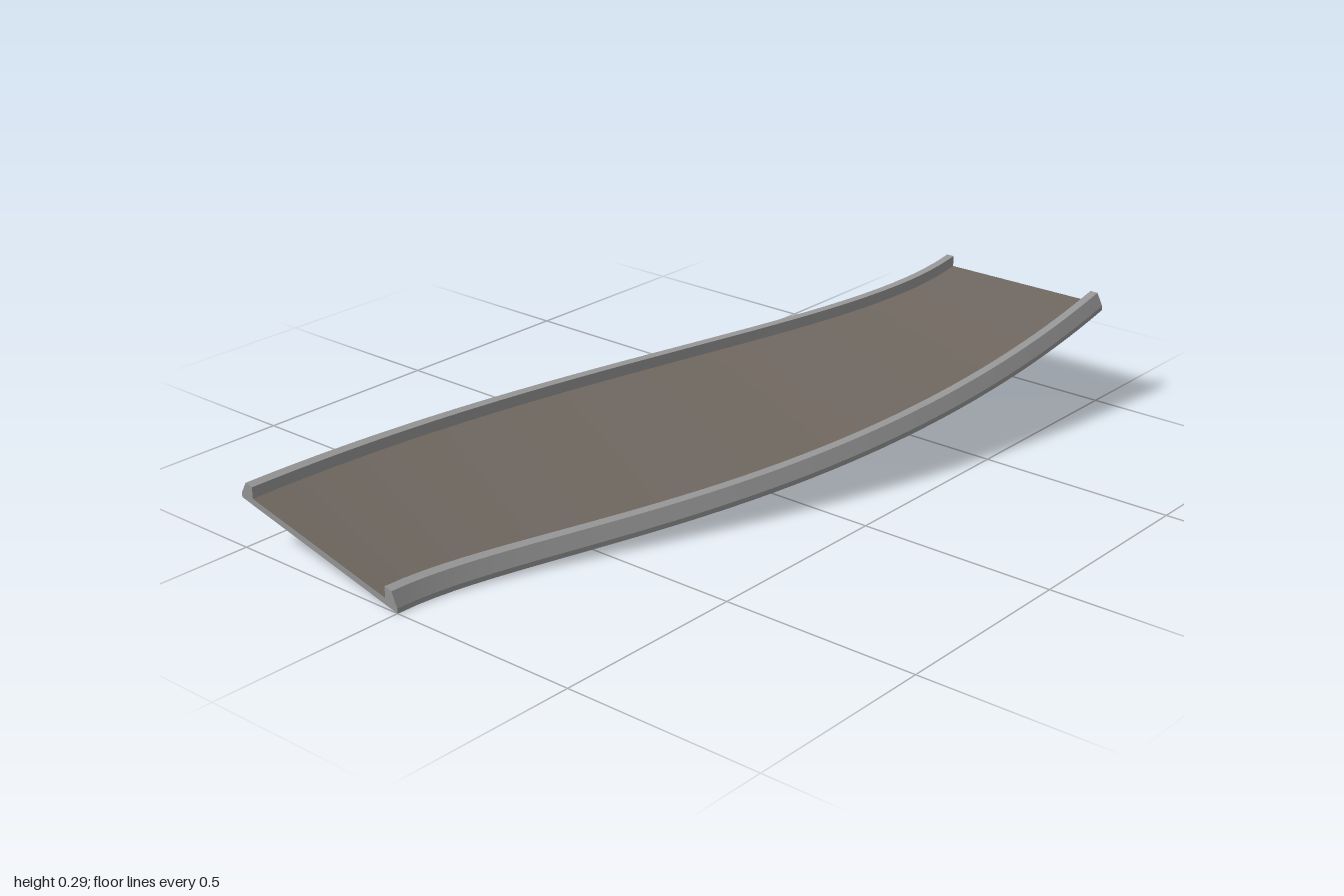
import * as THREE from 'three';
import { toCreasedNormals } from 'three/addons/utils/BufferGeometryUtils.js';

const STEPS = 40;
const bezier = (a, b, c, d, s) => {
  const r = 1 - s;
  return a * r * r * r + 3 * b * r * r * s + 3 * c * r * s * s + d * s * s * s;
};

// plan of the right-hand (+x) edge: solve the S curve for x at a given z
function edgeX(z) {
  let lo = 0, hi = 1;
  for (let i = 0; i < 40; i++) {
    const mid = (lo + hi) / 2;
    if (bezier(1, 0.59, 0.08, -1, mid) > z) lo = mid; else hi = mid;
  }
  return bezier(0, 0, 0.5, 0.5, (lo + hi) / 2);
}

// kerb profile: distance in from the edge, height above the underside
const kerb = [[0, 0], [0, 0.012], [0.016, 0.044], [0.037, 0.044], [0.037, 0.016]];

// cross-section at step i: right kerb going up and in, then left kerb back out
function section(i) {
  const t = i / STEPS, z = 1 - 2 * t;
  const xr = edgeX(z), xl = -edgeX(-z);
  const yr = 0.003 + 0.25 * Math.pow(t, 1.75), yl = 0.128 + 0.125 * Math.pow(t, 3);
  const point = (x, h) => new THREE.Vector3(x, yl + (yr - yl) * (x - xl) / (xr - xl) + h, z);
  return [
    ...kerb.map(([d, h]) => point(xr - d, h)),
    ...[...kerb].reverse().map(([d, h]) => point(xl + d, h)),
  ];
}

function meshFrom(name, triangles, material) {
  const geometry = new THREE.BufferGeometry().setFromPoints(triangles);
  const mesh = new THREE.Mesh(toCreasedNormals(geometry, 0.35), material);
  mesh.name = name;
  return mesh;
}

export function createModel() {
  const concrete = new THREE.MeshStandardMaterial({ color: 0x969595 });
  concrete.name = 'grey concrete';
  const asphalt = new THREE.MeshStandardMaterial({ color: 0x6e665f });
  asphalt.name = 'brown road surface';

  const sections = Array.from({ length: STEPS + 1 }, (_, i) => section(i));
  const n = sections[0].length;
  const body = [], road = [];

  // sweep each side of the section; the span between the kerbs is the road
  for (let i = 0; i < STEPS; i++) {
    const f = sections[i], b = sections[i + 1];
    for (let j = 0; j < n; j++) {
      const k = (j + 1) % n;
      (j === kerb.length - 1 ? road : body).push(f[j], b[j], b[k], f[j], b[k], f[k]);
    }
  }

  // flat end faces
  for (const [ring, flip] of [[sections[0], false], [sections[STEPS], true]]) {
    const outline = ring.map((p) => new THREE.Vector2(p.x, p.y));
    for (const [a, b, c] of THREE.ShapeUtils.triangulateShape(outline, [])) {
      body.push(ring[a], ring[flip ? c : b], ring[flip ? b : c]);
    }
  }

  const group = new THREE.Group();
  group.name = 'bankedRoadSection';
  group.add(meshFrom('slabAndKerbs', body, concrete), meshFrom('roadSurface', road, asphalt));
  return group;
}
